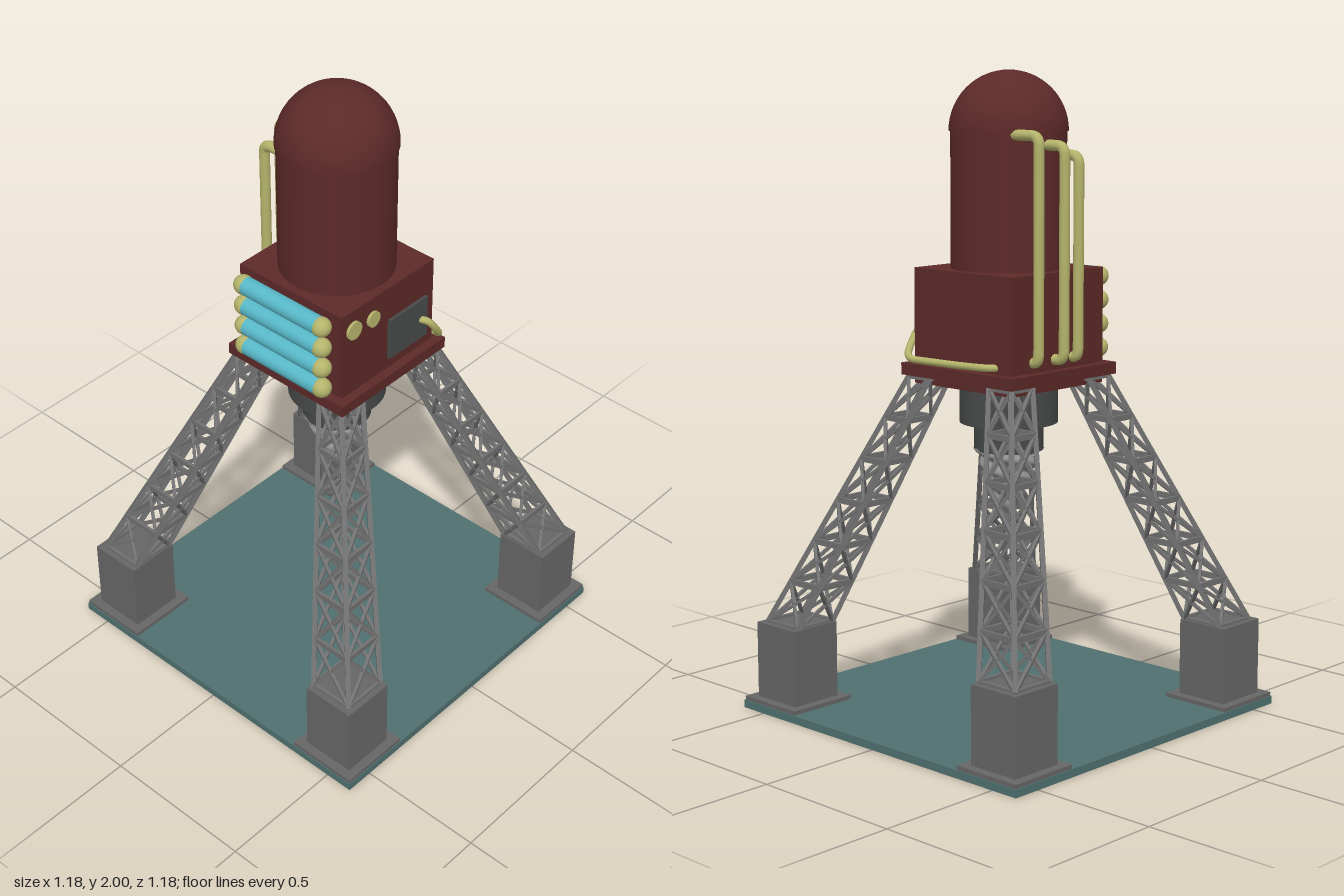
import * as THREE from 'three';
import { mergeGeometries } from 'three/addons/utils/BufferGeometryUtils.js';

const material = (color) => new THREE.MeshStandardMaterial({ color });
const maroon = material(0x5c2a28);
const teal = material(0x507070);
const steel = material(0x666666);
const truss = material(0x707070);
const dark = material(0x484a4a);
const drillGrey = material(0x909090);
const olive = material(0xb4b46c);
const cyan = material(0x58b8c8);
const V = (x, y, z) => new THREE.Vector3(x, y, z);

function add(parent, name, geometry, mat, x = 0, y = 0, z = 0) {
  const mesh = new THREE.Mesh(geometry, mat);
  mesh.name = name;
  mesh.position.set(x, y, z);
  parent.add(mesh);
  return mesh;
}

// Box given by its size in x and z and its bottom and top height
function block(parent, name, w, y0, y1, d, mat, x = 0, z = 0) {
  return add(parent, name, new THREE.BoxGeometry(w, y1 - y0, d), mat, x, (y0 + y1) / 2, z);
}

function drum(parent, name, r, y0, y1, mat) {
  return add(parent, name, new THREE.CylinderGeometry(r, r, y1 - y0, 48), mat, 0, (y0 + y1) / 2, 0);
}

// Square bar between two points
function bar(a, b, w, h = w) {
  const g = new THREE.BoxGeometry(w, h, a.distanceTo(b));
  const m = new THREE.Matrix4().lookAt(b, a, V(0, 1, 0));
  m.setPosition(a.clone().add(b).multiplyScalar(0.5));
  return g.applyMatrix4(m);
}

// Tube through points, with its corners rounded off
function pipe(parent, name, points, r, bend) {
  const path = new THREE.CurvePath();
  let from = points[0];
  for (let i = 1; i < points.length - 1; i++) {
    const p = points[i];
    const toward = (q) => p.clone().add(
      q.clone().sub(p).setLength(Math.min(bend, q.distanceTo(p) * 0.48)));
    const before = toward(points[i - 1]);
    const after = toward(points[i + 1]);
    path.add(new THREE.LineCurve3(from, before));
    path.add(new THREE.QuadraticBezierCurve3(before, p, after));
    from = after;
  }
  path.add(new THREE.LineCurve3(from, points[points.length - 1]));
  return add(parent, name, new THREE.TubeGeometry(path, 90, r, 12), olive);
}

// Tapered, leaning lattice leg for the corner given by the signs sx and sz
function latticeLeg(sx, sz) {
  const bays = 6;
  const corners = [[-1, -1], [1, -1], [1, 1], [-1, 1]];
  const rings = [];
  for (let i = 0; i <= bays; i++) {
    const t = i / bays;
    const c = THREE.MathUtils.lerp(0.465, 0.172, t);
    const h = THREE.MathUtils.lerp(0.072, 0.046, t);
    const y = THREE.MathUtils.lerp(0.28, 1.065, t);
    rings.push(corners.map(([u, v]) => V(sx * c + u * h, y, sz * c + v * h)));
  }
  const bars = [];
  for (let k = 0; k < 4; k++) {
    const n = (k + 1) % 4;
    bars.push(bar(rings[0][k], rings[bays][k], 0.015));
    for (let i = 0; i <= bays; i++) {
      bars.push(bar(rings[i][k], rings[i][n], 0.01, 0.018));
      if (i === bays) continue;
      bars.push(bar(rings[i][k], rings[i + 1][n], 0.01));
      bars.push(bar(rings[i][n], rings[i + 1][k], 0.01));
    }
  }
  return mergeGeometries(bars);
}

// Tapering auger with a two-start thread, made by moving cylinder vertices
function augerGeometry() {
  const top = 0.84, tip = 0.61, pitch = 0.055;
  const g = new THREE.CylinderGeometry(1, 1, top - tip, 48, 110, true);
  g.translate(0, (top + tip) / 2, 0);
  const p = g.attributes.position;
  for (let i = 0; i < p.count; i++) {
    const y = p.getY(i);
    const phase = y / pitch + Math.atan2(p.getX(i), p.getZ(i)) / Math.PI;
    const envelope = 0.112 * Math.pow(Math.max(0, (y - tip) / (top - tip)), 0.75);
    const r = envelope * (0.7 + 0.3 * Math.abs(Math.sin(Math.PI * phase)));
    p.setXYZ(i, p.getX(i) * r, y, p.getZ(i) * r);
  }
  g.computeVertexNormals();
  return g;
}

export function createModel() {
  const model = new THREE.Group();
  model.name = 'drillingRig';

  // Base
  block(model, 'groundPlate', 1.185, 0, 0.025, 1.185, teal);

  // Four legs on block feet
  for (const sx of [-1, 1]) {
    for (const sz of [-1, 1]) {
      const leg = new THREE.Group();
      leg.name = 'leg' + (sz > 0 ? 'Front' : 'Back') + (sx > 0 ? 'Left' : 'Right');
      const x = sx * 0.472, z = sz * 0.472;
      block(leg, 'footFlange', 0.235, 0.02, 0.038, 0.235, steel, x, z);
      block(leg, 'footBlock', 0.176, 0.035, 0.28, 0.176, steel, x, z);
      add(leg, 'lattice', latticeLeg(sx, sz), truss);
      model.add(leg);
    }
  }

  // Platform, machine housing and domed tower
  block(model, 'lowerDeck', 0.41, 1.042, 1.07, 0.41, maroon);
  block(model, 'upperDeck', 0.47, 1.068, 1.105, 0.47, maroon);
  block(model, 'housing', 0.41, 1.105, 1.4, 0.41, maroon);
  drum(model, 'tower', 0.178, 1.4, 1.82, maroon);
  add(model, 'dome', new THREE.SphereGeometry(0.183, 40, 16, 0, Math.PI * 2, 0, Math.PI / 2),
    maroon, 0, 1.817, 0);
  const rim = add(model, 'domeRim', new THREE.RingGeometry(0.17, 0.183, 40), maroon, 0, 1.817, 0);
  rim.rotation.x = Math.PI / 2;

  // Drill
  const drill = new THREE.Group();
  drill.name = 'drill';
  model.add(drill);
  drum(drill, 'drillCollar', 0.153, 0.92, 1.045, dark);
  drum(drill, 'drillChuck', 0.108, 0.833, 0.925, dark);
  add(drill, 'auger', augerGeometry(), drillGrey);

  // Stack of side tanks with round ends
  for (let i = 0; i < 4; i++) {
    const tank = new THREE.Group();
    tank.name = 'tank' + (i + 1);
    tank.position.set(-0.24, 1.143 + i * 0.0745, 0);
    const body = add(tank, 'tankBody', new THREE.CylinderGeometry(0.029, 0.029, 0.31, 24), cyan);
    body.rotation.x = Math.PI / 2;
    for (const s of [-1, 1]) {
      add(tank, 'tankEnd', new THREE.SphereGeometry(0.031, 24, 16), olive, 0, 0, s * 0.157);
    }
    model.add(tank);
  }

  // Front gauges and control panel
  for (const [x, y, r] of [[-0.155, 1.333, 0.03], [-0.07, 1.328, 0.026]]) {
    const gauge = add(model, 'gauge', new THREE.CylinderGeometry(r, r, 0.02, 28), olive, x, y, 0.204);
    gauge.rotation.x = Math.PI / 2;
  }
  block(model, 'controlPanel', 0.172, 1.143, 1.285, 0.03, dark, 0.085, 0.2);

  // Back pipes from the housing up to the tower
  for (const [x, top, z] of [[0.11, 1.812, -0.228], [0.015, 1.78, -0.244], [-0.066, 1.748, -0.228]]) {
    pipe(model, 'backPipe', [V(x, 1.137, -0.19), V(x, 1.137, z), V(x, top, z), V(x, top, -0.128)],
      0.0165, 0.03);
  }

  // Cable from the panel round the left side of the housing
  pipe(model, 'sideCable', [V(0.14, 1.213, 0.205), V(0.155, 1.21, 0.237), V(0.185, 1.165, 0.24),
    V(0.224, 1.117, 0.225), V(0.225, 1.12, 0), V(0.225, 1.124, -0.12), V(0.195, 1.124, -0.145)],
    0.0115, 0.045);

  return model;
}
